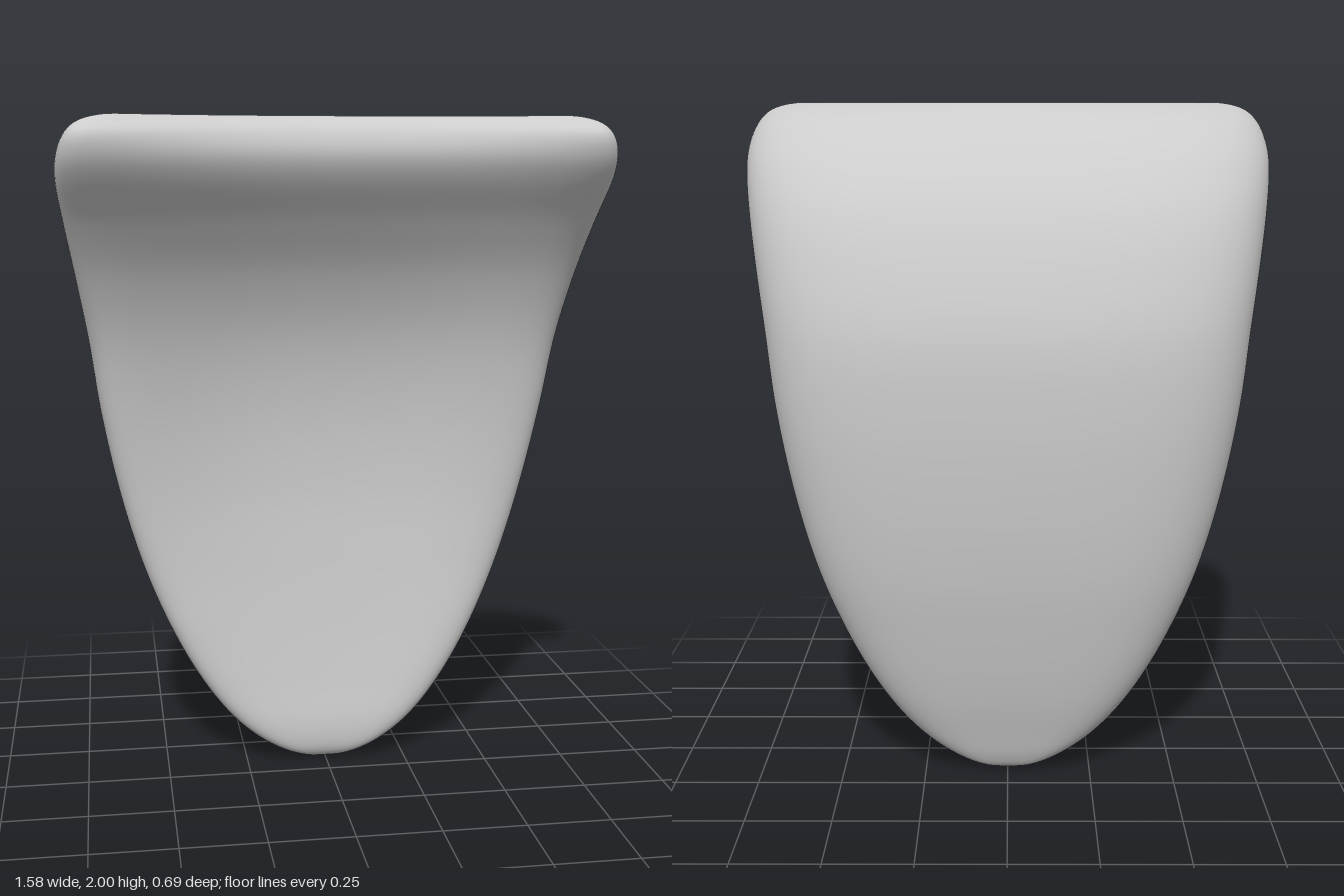
import * as THREE from 'three';
import { mergeVertices } from 'three/addons/utils/BufferGeometryUtils.js';

// Horizontal stations: height, half width, front z and back z on the centre line,
// forward sweep of the front face and of the back face at the sides
const STATIONS = [
  [0, 0, -0.122, -0.122, 0, 0],
  [0.012, 0.083, -0.088, -0.152, 0, 0],
  [0.05, 0.17, -0.068, -0.174, 0.006, 0.004],
  [0.13, 0.275, -0.064, -0.2, 0.018, 0.01],
  [0.26, 0.38, -0.08, -0.237, 0.042, 0.02],
  [0.44, 0.48, -0.1, -0.277, 0.067, 0.035],
  [0.65, 0.565, -0.117, -0.315, 0.09, 0.05],
  [0.88, 0.63, -0.128, -0.34, 0.125, 0.065],
  [1.13, 0.68, -0.116, -0.351, 0.16, 0.075],
  [1.35, 0.71, -0.072, -0.339, 0.175, 0.08],
  [1.54, 0.742, 0.008, -0.288, 0.18, 0.08],
  [1.7, 0.77, 0.112, -0.217, 0.185, 0.08],
  [1.82, 0.787, 0.203, -0.13, 0.2, 0.08],
  [1.89, 0.782, 0.236, -0.063, 0.21, 0.085],
  [1.95, 0.757, 0.228, 0.015, 0.21, 0.095],
  [1.985, 0.712, 0.2, 0.09, 0.165, 0.11],
  [2, 0.62, 0.155, 0.155, 0.12, 0.12],
];

// Stations are spaced along an arc so that both ends close roundly
const ANGLES = STATIONS.map(([y]) => Math.acos(1 - y));

// Smooth interpolation of all station values at one arc angle
function station(angle) {
  const n = STATIONS.length - 1;
  let i = 0;
  while (i < n - 1 && angle > ANGLES[i + 1]) i++;
  const step = ANGLES[i + 1] - ANGLES[i], f = (angle - ANGLES[i]) / step;
  const slope = (j, k) => {
    const lo = Math.max(j - 1, 0), hi = Math.min(j + 1, n);
    return (STATIONS[hi][k] - STATIONS[lo][k]) / (ANGLES[hi] - ANGLES[lo]) * step;
  };
  return STATIONS[i].map((p, k) => {
    const q = STATIONS[i + 1][k], v = slope(i, k), u = slope(i + 1, k);
    return (2 * p - 2 * q + v + u) * f ** 3 + (3 * q - 3 * p - 2 * v - u) * f ** 2 + v * f + p;
  });
}

// Loft of rounded sections, bowed forward and thicker at the sides
function shellGeometry(around = 128, rows = 110) {
  const pos = [], index = [];
  for (let r = 0; r <= rows; r++) {
    const angle = (r / rows) * Math.PI;
    const [, w, front, back, sweepFront, sweepBack] = station(angle);
    const y = 1 - Math.cos(angle);
    for (let s = 0; s < around; s++) {
      const t = (s / around) * Math.PI * 2;
      const k = Math.cos(t), side = Math.abs(k);
      const bow = side ** 2.4;
      const zf = front + sweepFront * bow;
      const zb = back + sweepBack * bow;
      const round = Math.sign(Math.sin(t)) * Math.max(0, 1 - side ** 5) ** 0.45;
      pos.push(w * k, y, (zf + zb) / 2 + ((zf - zb) / 2) * round);
      if (r < rows) {
        const a = r * around + s, b = r * around + ((s + 1) % around);
        index.push(a, a + around, b, b, a + around, b + around);
      }
    }
  }
  let geo = new THREE.BufferGeometry();
  geo.setAttribute('position', new THREE.Float32BufferAttribute(pos, 3));
  geo.setIndex(index);
  // Weld the closed ends so the shading runs smoothly over them
  geo = mergeVertices(geo, 1e-4);
  geo.computeVertexNormals();
  return geo;
}

export function createModel() {
  const group = new THREE.Group();
  group.name = 'curvedShield';
  const shell = new THREE.Mesh(shellGeometry(), new THREE.MeshStandardMaterial({ color: 0xcccccc }));
  shell.name = 'shell';
  group.add(shell);
  return group;
}
